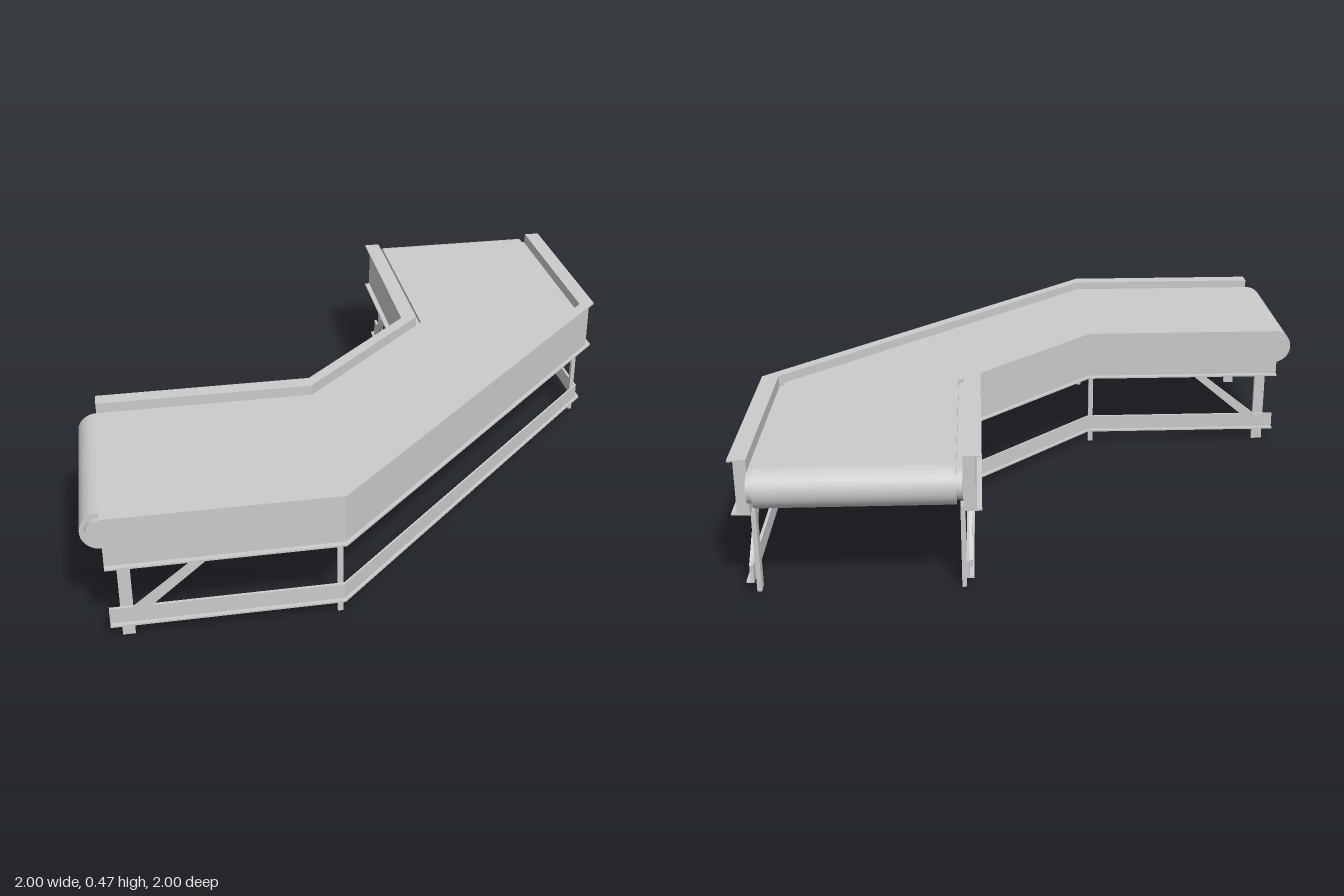
import * as THREE from 'three';

const MAT = new THREE.MeshStandardMaterial({ color: 0xcccccc });
const BEND = -0.195;   // where each straight arm meets the diagonal
const END = -0.935;    // free end of each arm
const MID = 0.6125;    // centre of the track across its width

function add(parent, geo, name, x = 0, y = 0, z = 0) {
  const m = new THREE.Mesh(geo, MAT);
  m.name = name;
  m.position.set(x, y, z);
  parent.add(m);
  return m;
}

// Rectangular bar following the bent track; p is the distance across it
function sweep(p0, p1, y0, y1) {
  const ring = [[p0, y0], [p1, y0], [p1, y1], [p0, y1]];
  const stations = [p => [END, p], p => [BEND, p], p => [p, BEND], p => [p, END]];
  const pos = [], idx = [];
  for (const at of stations) {
    for (const [p, y] of ring) {
      const [x, z] = at(p);
      pos.push(x, y, z);
    }
  }
  const quad = (a, b, c, d) => idx.push(a, b, c, a, c, d);
  for (let s = 0; s < 3; s++) {
    for (let j = 0; j < 4; j++) {
      const k = (j + 1) % 4, a = s * 4, b = a + 4;
      quad(a + j, b + j, b + k, a + k);
    }
  }
  quad(0, 1, 2, 3);
  quad(15, 14, 13, 12);
  const g = new THREE.BufferGeometry();
  g.setAttribute('position', new THREE.Float32BufferAttribute(pos, 3));
  g.setIndex(idx);
  const flat = g.toNonIndexed();
  flat.computeVertexNormals();
  return flat;
}

// Bar given by its offsets from the track centre, on the chosen side
function sideBar(side, d0, d1, y0, y1) {
  const a = MID + side * d0, b = MID + side * d1;
  return sweep(Math.min(a, b), Math.max(a, b), y0, y1);
}

// Rollers, posts and braces of one straight arm; zSign prepares for the turn
function arm(zSign) {
  const g = new THREE.Group();
  g.name = 'arm';
  const drum = (r, len, p, name) =>
    add(g, new THREE.CylinderGeometry(r, r, len, 40).rotateX(Math.PI / 2), name, END, 0.38, zSign * p);
  drum(0.065, 0.615, MID, 'beltEnd');

  for (const side of [-1, 1]) {
    const at = d => MID + side * d;
    drum(0.05, 0.02, at(0.3175), 'endPlate');
    add(g, new THREE.BoxGeometry(0.04, 0.285, 0.015), 'endPost', -0.88, 0.1425, zSign * at(0.325));
    add(g, new THREE.BoxGeometry(0.018, 0.285, 0.015), 'cornerPost', BEND - 0.012, 0.1425, zSign * at(0.325));

    // Diagonal brace from the post foot to the side rail, with level ends
    const shape = new THREE.Shape();
    shape.moveTo(-0.89, 0.065);
    shape.lineTo(-0.865, 0.065);
    shape.lineTo(-0.6, 0.287);
    shape.lineTo(-0.64, 0.287);
    shape.lineTo(-0.89, 0.09);
    const brace = new THREE.ExtrudeGeometry(shape, { depth: 0.012, bevelEnabled: false });
    add(g, brace.translate(0, 0, -0.006), 'brace', 0, 0, zSign * at(0.347));
  }
  return g;
}

export function createModel() {
  const model = new THREE.Group();
  model.name = 'bentConveyor';

  // Belt bed
  add(model, sweep(0.305, 0.92, 0.315, 0.445), 'belt');

  // Rails on both sides
  for (const side of [-1, 1]) {
    const bar = (name, ...d) => add(model, sideBar(side, ...d), name);
    bar('beltSidePlate', 0.3075, 0.3275, 0.33, 0.43);
    bar('sideRail', 0.3275, 0.367, 0.29, 0.465);
    bar('sideRailTopFlange', 0.3275, 0.3855, 0.464, 0.47);
    bar('sideRailBottomFlange', 0.3275, 0.3855, 0.285, 0.291);
    bar('lowerRail', 0.3325, 0.3425, 0.05, 0.11);
    bar('lowerRailFlange', 0.3325, 0.3575, 0.05, 0.056);
  }

  // The two arms mirror each other across the diagonal
  model.add(arm(1));
  const second = arm(-1);
  second.rotation.y = -Math.PI / 2;
  model.add(second);
  return model;
}
